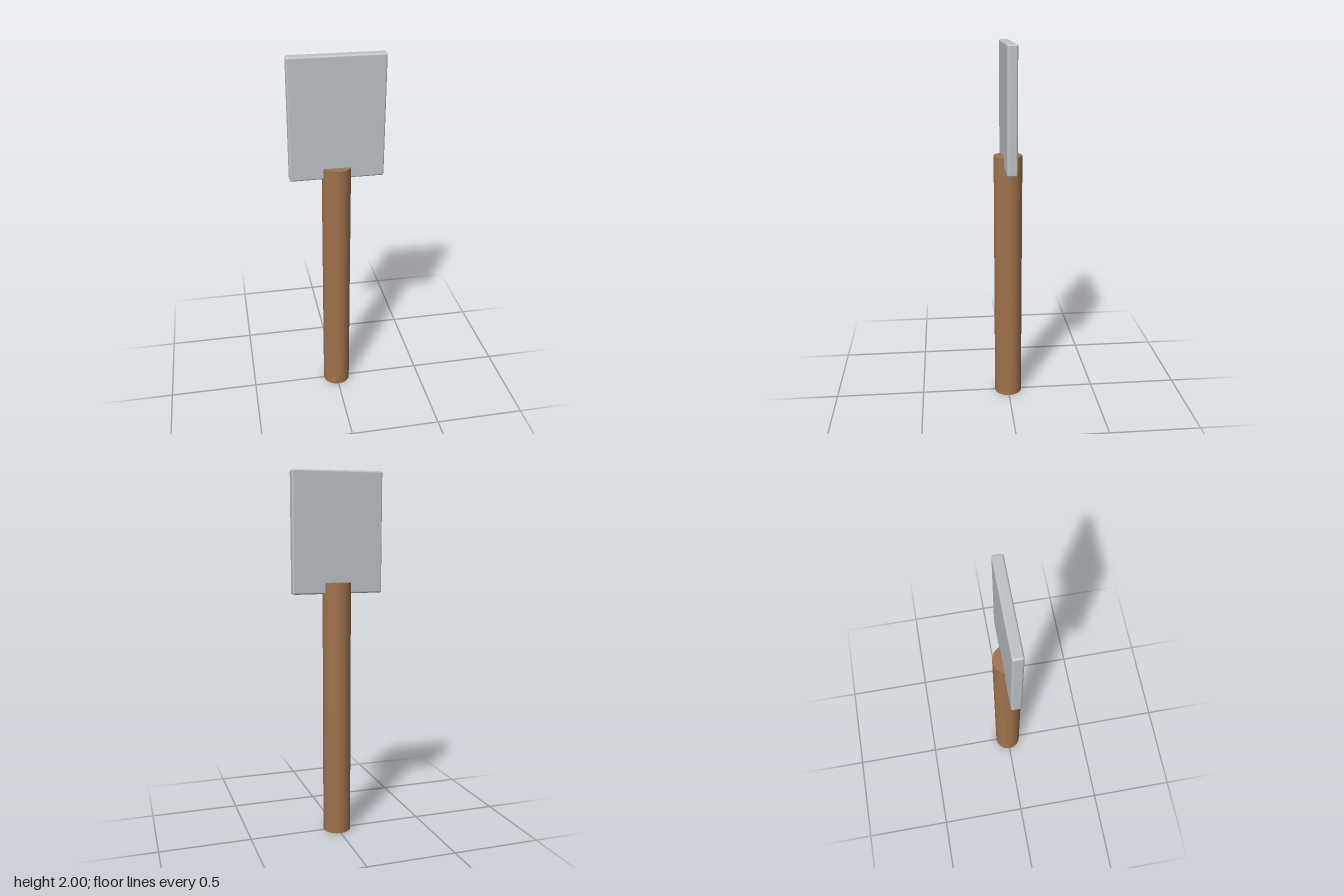
import * as THREE from 'three';
import { RoundedBoxGeometry } from 'three/addons/geometries/RoundedBoxGeometry.js';

const wood = new THREE.MeshStandardMaterial({ color: 0xa0734c });
wood.name = 'brown wood';
const metal = new THREE.MeshStandardMaterial({ color: 0xbdc3c7 });
metal.name = 'light grey metal';

export function createModel() {
  const model = new THREE.Group();
  model.name = 'paddle';

  // Round shaft standing on the ground
  const handleHeight = 1.413;
  const handle = new THREE.Mesh(
    new THREE.CylinderGeometry(0.077, 0.077, handleHeight, 48), wood);
  handle.name = 'handle';
  handle.position.y = handleHeight / 2;
  model.add(handle);

  // Flat plate with softly rounded edges, sunk into the top of the shaft
  const bladeHeight = 0.647;
  const blade = new THREE.Mesh(
    new RoundedBoxGeometry(0.5, bladeHeight, 0.054, 4, 0.01), metal);
  blade.name = 'blade';
  blade.position.y = 2 - bladeHeight / 2;
  model.add(blade);

  return model;
}
